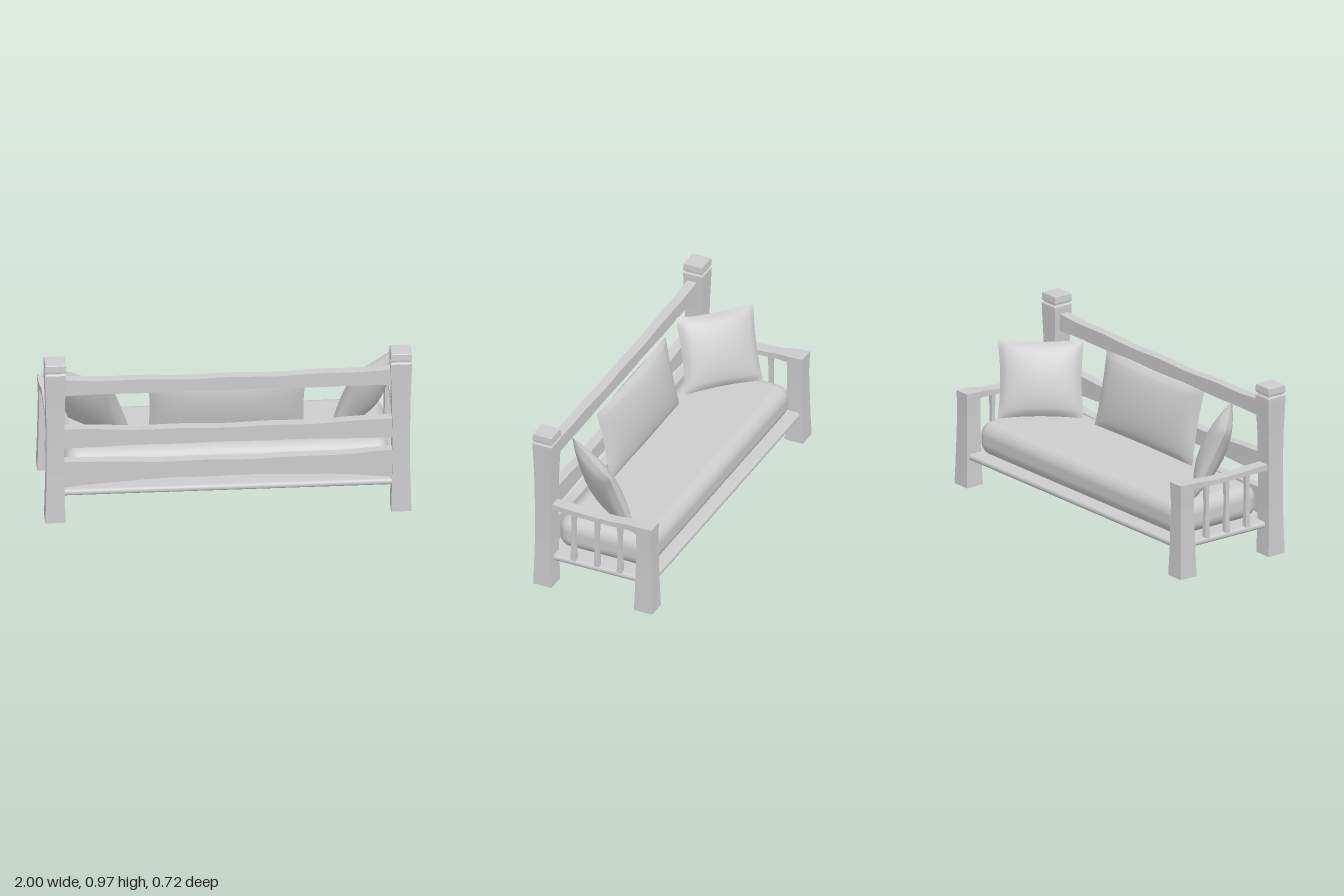
import * as THREE from 'three';
import { mergeGeometries } from 'three/addons/utils/BufferGeometryUtils.js';
import { RoundedBoxGeometry } from 'three/addons/geometries/RoundedBoxGeometry.js';

const clay = new THREE.MeshStandardMaterial({ color: 0xcccccc, side: THREE.DoubleSide });
clay.name = 'paleGrey';

function add(parent, name, geometry, x = 0, y = 0, z = 0) {
  const mesh = new THREE.Mesh(geometry, clay);
  mesh.name = name;
  mesh.position.set(x, y, z);
  parent.add(mesh);
  return mesh;
}

// Square post from [half width, height] rings, with hard edges
function squarePost(rings) {
  const points = rings.map(([r, y]) => new THREE.Vector2(r * Math.SQRT2, y));
  const geometry = new THREE.LatheGeometry(points, 4, Math.PI / 4).toNonIndexed();
  geometry.computeVertexNormals();
  return geometry;
}

// Moves every vertex of a geometry by a rule
function reshape(geometry, rule) {
  const p = geometry.attributes.position;
  const v = new THREE.Vector3();
  for (let i = 0; i < p.count; i++) {
    v.fromBufferAttribute(p, i);
    rule(v);
    p.setXYZ(i, v.x, v.y, v.z);
  }
  geometry.computeVertexNormals();
  return geometry;
}

// Hand-hewn rail: top and bottom edges curve from the middle to the ends
function rail(bottomMid, bottomEnd, topMid, topEnd) {
  return reshape(new THREE.BoxGeometry(1.8, 1, 0.055, 28, 1, 1), (v) => {
    const k = Math.pow(Math.abs(v.x) / 0.9, 2.5);
    const wobble = 0.003 * Math.sin(v.x * 13 + topMid * 9);
    v.y = v.y > 0
      ? THREE.MathUtils.lerp(topMid, topEnd, k) + wobble
      : THREE.MathUtils.lerp(bottomMid, bottomEnd, k) - wobble * 0.6;
  });
}

// Pillow: two domed panels meeting at a seam, with pulled-out corners
function pillow(w, h, depth, pinch) {
  const panel = (side) => {
    const g = reshape(new THREE.PlaneGeometry(2, 2, 20, 20), (v) => {
      const { x: u, y: t } = v;
      const dome = Math.pow(Math.max(0, (1 - u * u) * (1 - t * t)), 0.5);
      v.set(
        (w / 2) * u * (1 - pinch * (1 - t * t)),
        (h / 2) * t * (1 - pinch * (1 - u * u)),
        depth * dome
      );
    });
    if (side < 0) g.rotateY(Math.PI);
    return g;
  };
  return mergeGeometries([panel(1), panel(-1)]);
}

export function createModel() {
  const bench = new THREE.Group();
  bench.name = 'bench';

  // Seat
  add(bench, 'seatBoard', new RoundedBoxGeometry(1.92, 0.036, 0.68, 4, 0.017), 0, 0.172, 0);
  add(bench, 'seatCushion', new RoundedBoxGeometry(1.77, 0.192, 0.575, 8, 0.075), 0, 0.284, -0.012);

  // Back rails
  const rails = [
    ['topRail', 0.775, 0.77, 0.85, 0.866],
    ['middleRail', 0.456, 0.446, 0.545, 0.566],
    ['lowerRail', 0.247, 0.203, 0.345, 0.368],
  ];
  for (const [name, ...edges] of rails) add(bench, name, rail(...edges), 0, 0, 0.307);

  // Posts, arms and balusters, mirrored
  for (const s of [1, -1]) {
    const side = new THREE.Group();
    side.name = s > 0 ? 'leftSide' : 'rightSide';
    bench.add(side);

    add(side, 'backPost', squarePost([
      [0.055, 0], [0.052, 0.12], [0.048, 0.28], [0.048, 0.5], [0.051, 0.7],
      [0.058, 0.89], [0.058, 0.908], [0.054, 0.912], [0.05, 0.916], [0.05, 0.922],
      [0.057, 0.926], [0.0585, 0.932], [0.056, 0.966], [0.053, 0.97], [0, 0.97],
    ]), s * 0.9415, 0, 0.302);

    add(side, 'frontPost', squarePost([
      [0.055, 0], [0.051, 0.12], [0.047, 0.28], [0.045, 0.4], [0.046, 0.5], [0, 0.5],
    ]), s * 0.942, 0, -0.305);

    // Armrest flares and lifts over the front post
    add(side, 'armrest', reshape(new THREE.BoxGeometry(2, 1, 0.62, 1, 1, 20), (v) => {
      const z = v.z - 0.043;
      const front = THREE.MathUtils.smoothstep(-z, 0.08, 0.34);
      const back = THREE.MathUtils.smoothstep(z, 0.0, 0.26);
      const flare = THREE.MathUtils.smoothstep(-z, 0.2, 0.28);
      v.x *= 0.035 + 0.013 * flare;
      v.y = v.y > 0 ? 0.517 + 0.02 * front + 0.009 * back : 0.489 + 0.009 * front + 0.005 * back;
      v.z = z;
    }), s * 0.942, 0, 0);

    for (const z of [0.136, -0.004, -0.142]) {
      add(side, 'baluster', squarePost([
        [0.015, 0.185], [0.014, 0.24], [0.011, 0.33], [0.011, 0.4], [0.014, 0.495],
      ]), s * 0.942, 0, z);
    }
  }

  // Loose pillows: width, height, half depth, pinch, position, yaw, lean, roll
  const pillows = [
    ['centrePillow', 0.86, 0.42, 0.058, 0.025, [0, 0.588, 0.205], 0, 0.2, 0],
    ['leftPillow', 0.47, 0.43, 0.068, 0.06, [0.757, 0.578, 0.048], 0.905, 0.37, 0],
    ['rightPillow', 0.46, 0.43, 0.068, 0.06, [-0.733, 0.583, 0.07], -0.72, 0.42, 0.04],
  ];
  for (const [name, w, h, d, pinch, at, yaw, lean, roll] of pillows) {
    const mesh = add(bench, name, pillow(w, h, d, pinch), ...at);
    mesh.rotation.set(lean, yaw, roll, 'YXZ');
  }
  return bench;
}
